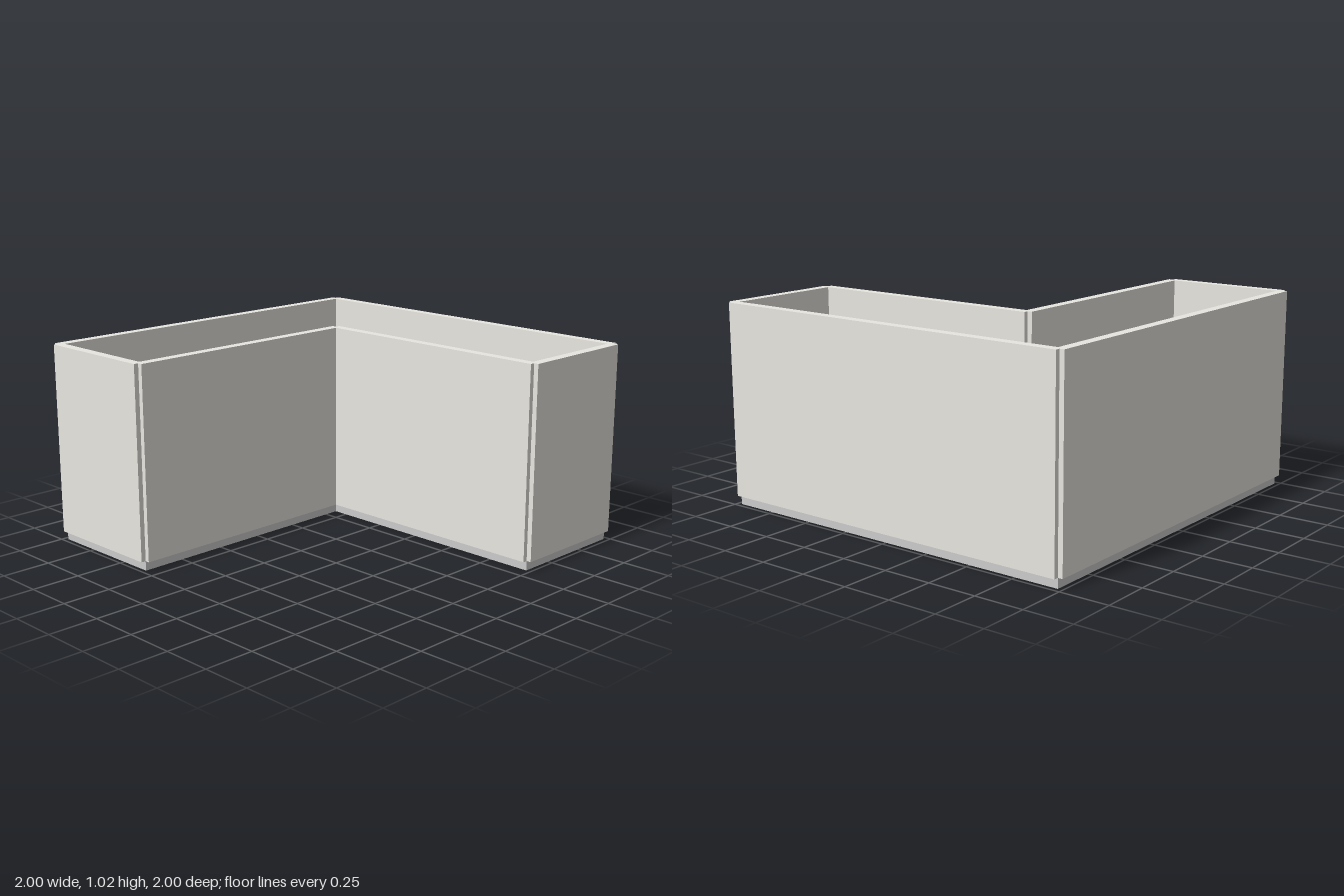
import * as THREE from 'three';

const E = 0.9756;      // outer edge of the floor outline
const I = -0.3252;     // inner edge of the L
const T = 0.0488;      // wall and floor thickness
const H = 0.9756;      // wall height

// L-shaped outline as [x, z] corners
const outline = [[-E, -E], [E, -E], [E, I], [I, I], [I, E], [-E, E]];

export function createModel() {
  const model = new THREE.Group();
  model.name = 'lShapedRoom';
  const floorMat = new THREE.MeshStandardMaterial({ color: 0xcccccc });
  const wallMat = new THREE.MeshStandardMaterial({ color: 0xe8e6e0 });

  // Floor slab, extruded upwards from y = 0
  const shape = new THREE.Shape(outline.map(([x, z]) => new THREE.Vector2(x, -z)));
  const floorGeo = new THREE.ExtrudeGeometry(shape, { depth: T, bevelEnabled: false });
  floorGeo.rotateX(-Math.PI / 2);
  const floor = new THREE.Mesh(floorGeo, floorMat);
  floor.name = 'floor';
  model.add(floor);

  // One wall centred on each floor edge, which leaves small notches at the corners
  const walls = new THREE.Group();
  walls.name = 'walls';
  outline.forEach(([x0, z0], i) => {
    const [x1, z1] = outline[(i + 1) % outline.length];
    const alongX = z0 === z1;
    const length = Math.abs(x1 - x0) + Math.abs(z1 - z0);
    const wall = new THREE.Mesh(
      new THREE.BoxGeometry(alongX ? length : T, H, alongX ? T : length), wallMat);
    wall.position.set((x0 + x1) / 2, T + H / 2, (z0 + z1) / 2);
    wall.name = 'wall' + (i + 1);
    walls.add(wall);
  });
  model.add(walls);
  return model;
}
